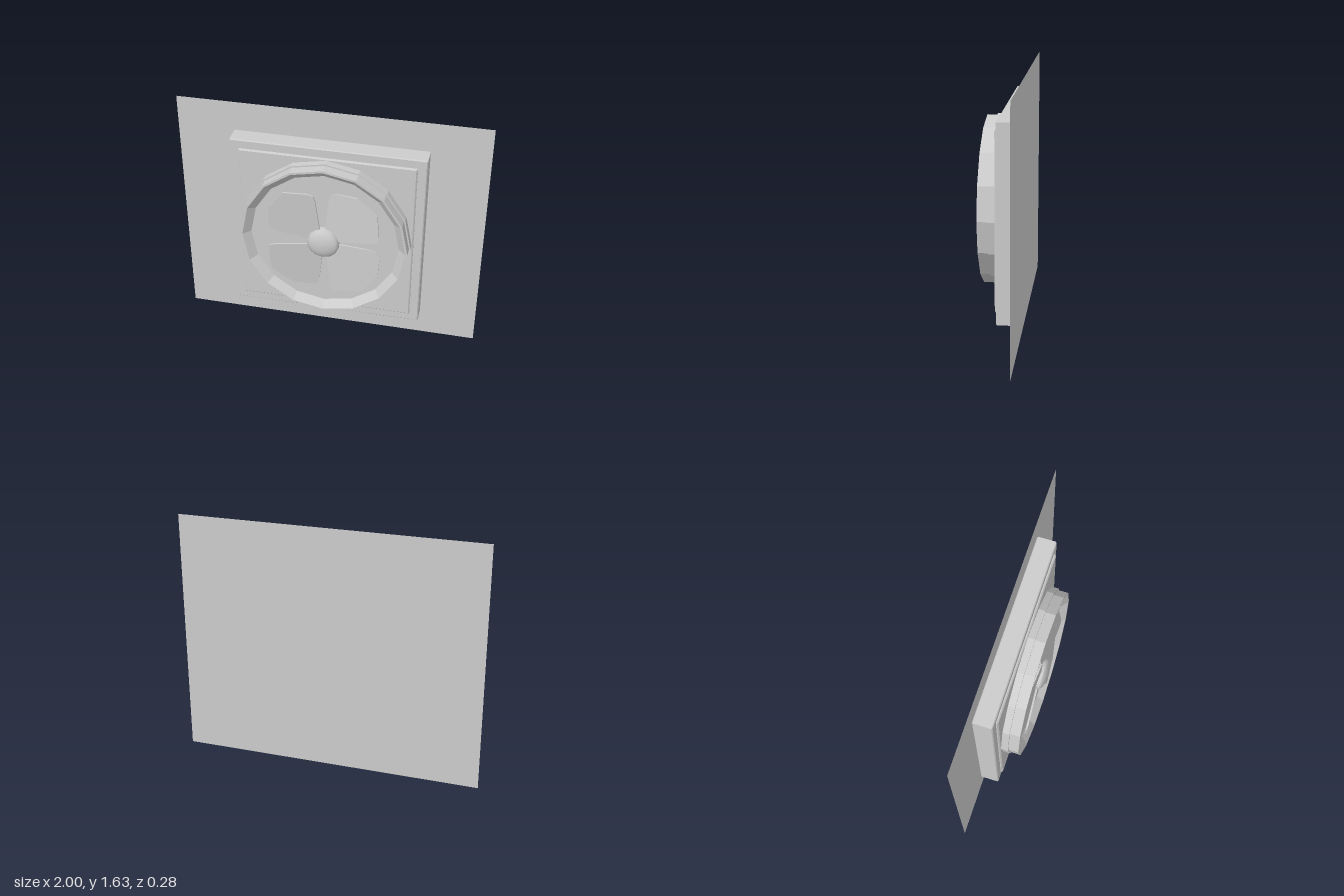
import * as THREE from 'three';

const CENTRE_Y = 0.817;
const flat = new THREE.MeshStandardMaterial({ color: 0xcccccc, flatShading: true });
const smooth = new THREE.MeshStandardMaterial({ color: 0xcccccc });
const thin = new THREE.MeshStandardMaterial({ color: 0xcccccc, flatShading: true, side: THREE.DoubleSide });

function part(name, geometry, material) {
  const mesh = new THREE.Mesh(geometry, material);
  mesh.name = name;
  return mesh;
}

// Square plate from z = back to z = front, with its front edges chamfered
function plate(half, back, front, bevel) {
  const h = half - bevel;
  const shape = new THREE.Shape([[-h, -h], [h, -h], [h, h], [-h, h]].map(p => new THREE.Vector2(...p)));
  const geometry = new THREE.ExtrudeGeometry(shape, {
    depth: front - back - 2 * bevel, bevelThickness: bevel, bevelSize: bevel, bevelSegments: 1,
  });
  return geometry.translate(0, 0, back + bevel);
}

// Profile of [radius, z] turned around the z axis
function turned(profile, sides) {
  return new THREE.LatheGeometry(profile.map(p => new THREE.Vector2(...p)), sides).rotateX(Math.PI / 2);
}

// Pitched blade of the upper right quadrant; the others are quarter turns of it
function bladeGeometry() {
  const outline = [[0.008, 0.09], [0.03, 0.30], [0.042, 0.345], [0.075, 0.365], [0.215, 0.357],
    [0.345, 0.26], [0.362, 0.10], [0.352, 0.062], [0.315, 0.048], [0.09, 0.022]];
  const shape = new THREE.Shape(outline.map(p => new THREE.Vector2(...p)));
  const geometry = new THREE.ExtrudeGeometry(shape, { depth: 0.012, bevelEnabled: false });
  const pos = geometry.attributes.position;
  for (let i = 0; i < pos.count; i++) {
    const across = (pos.getX(i) - pos.getY(i)) * Math.SQRT1_2;
    pos.setZ(i, pos.getZ(i) + 0.08 + 0.105 * across);
  }
  geometry.computeVertexNormals();
  return geometry;
}

export function createModel() {
  const model = new THREE.Group();
  model.name = 'wallFan';

  // Wall sheet behind the fan
  const wall = part('wall', new THREE.PlaneGeometry(2, 1.635), thin);
  wall.position.set(0, 1.635 / 2, -0.139);
  model.add(wall);

  const fan = new THREE.Group();
  fan.name = 'fan';
  fan.position.y = CENTRE_Y;
  model.add(fan);

  // Square housing with a raised front panel
  fan.add(part('housing', plate(0.625, -0.138, -0.013, 0.006), flat));
  fan.add(part('frontPanel', plate(0.567, -0.03, 0.001, 0.008), flat));

  // Stepped ring with a tapered bore and closed floor
  fan.add(part('ring', turned([
    [0.557, -0.01], [0.557, 0.046], [0.547, 0.046], [0.547, 0.112],
    [0.533, 0.112], [0.485, 0.065], [0, 0.065],
  ], 16), flat));

  // Four blades
  const blade = bladeGeometry();
  const blades = new THREE.Group();
  blades.name = 'blades';
  for (let i = 0; i < 4; i++) {
    const mesh = part('blade', blade, thin);
    mesh.rotation.z = i * Math.PI / 2;
    blades.add(mesh);
  }
  fan.add(blades);

  // Domed hub
  fan.add(part('hub', turned([
    [0.104, 0.06], [0.104, 0.106], [0.09, 0.119], [0.065, 0.13], [0.035, 0.137], [0, 0.139],
  ], 14), smooth));

  return model;
}
